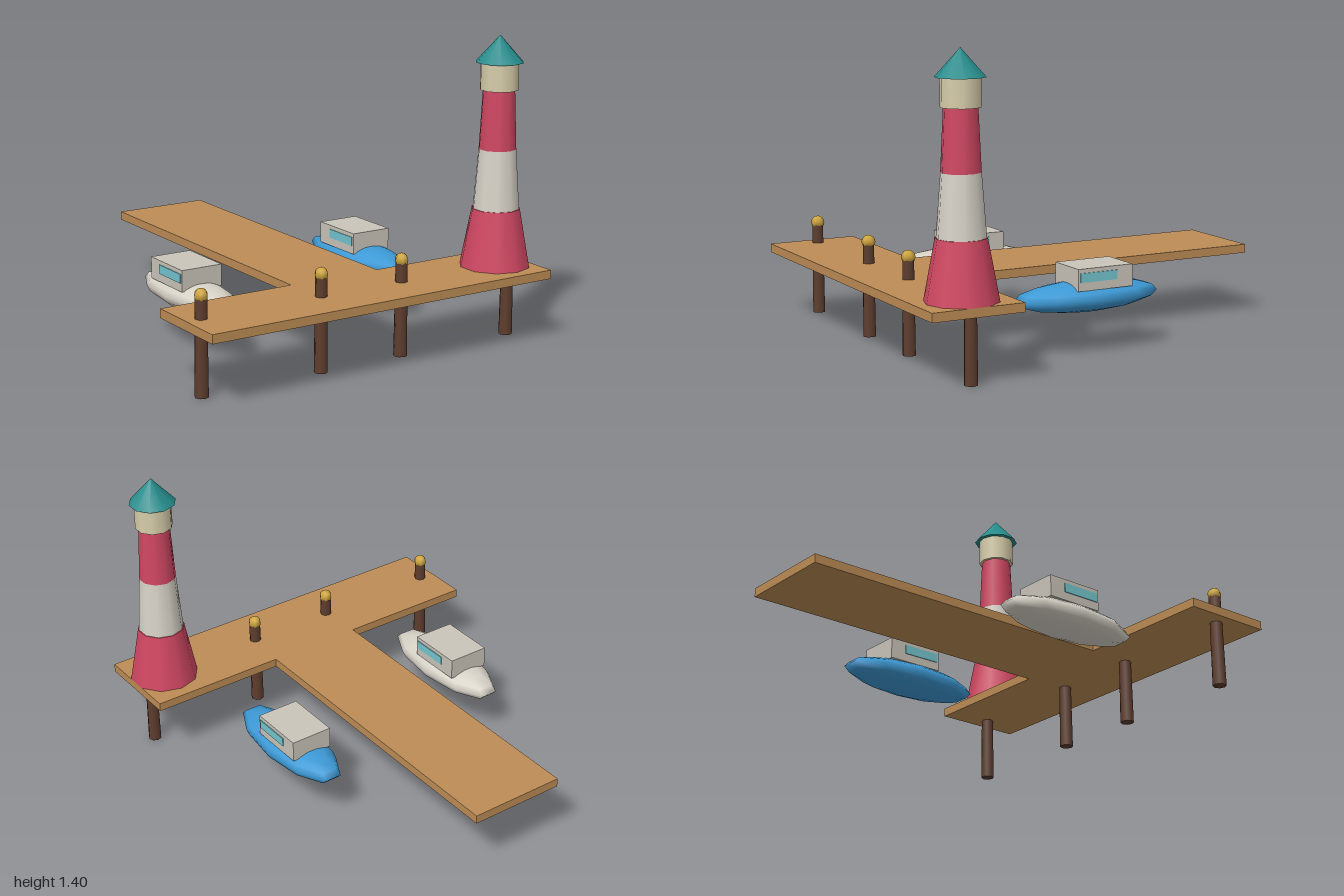
import * as THREE from 'three';

const mat = (name, color) => {
  const m = new THREE.MeshStandardMaterial({ color });
  m.name = name;
  return m;
};

export function createModel() {
  const wood = mat('deck wood', 0xbd8c55);
  const darkWood = mat('post wood', 0x5e3d2e);
  const brass = mat('brass', 0xcfa53f);
  const red = mat('tower red', 0xd04762);
  const white = mat('tower white', 0xd8d3c8);
  const cream = mat('lantern cream', 0xd8ceab);
  const teal = mat('roof teal', 0x268c8c);
  const blue = mat('hull blue', 0x3d9ad6);
  const cabinGrey = mat('cabin grey', 0xcac5ba);
  const glass = mat('window glass', 0x74c6d0);

  const model = new THREE.Group();
  model.name = 'harbourPier';

  const add = (parent, name, geometry, material, x = 0, y = 0, z = 0) => {
    const mesh = new THREE.Mesh(geometry, material);
    mesh.name = name;
    mesh.position.set(x, y, z);
    parent.add(mesh);
    return mesh;
  };

  // T-shaped deck, drawn in x/z and extruded downwards
  const outline = [
    [-0.895, 1], [-0.895, 0.57], [-0.233, 0.57], [-0.233, -1],
    [0.23, -1], [0.23, 0.57], [0.89, 0.57], [0.89, 1],
  ].map(([x, z]) => new THREE.Vector2(x, z));
  const deck = new THREE.ExtrudeGeometry(new THREE.Shape(outline), { depth: 0.041, bevelEnabled: false });
  deck.rotateX(Math.PI / 2);
  add(model, 'deck', deck, wood, 0, 0.343, 0);

  // Mooring posts with brass caps
  const postGeo = new THREE.CylinderGeometry(0.027, 0.031, 0.43, 8);
  const capGeo = new THREE.SphereGeometry(0.032, 6, 8);
  for (const x of [-0.82, -0.218, 0.21, 0.812]) {
    const post = new THREE.Group();
    post.name = 'mooringPost';
    post.position.set(x, 0, 0.785);
    add(post, 'post', postGeo, darkWood, 0, 0.215, 0);
    add(post, 'postCap', capGeo, brass, 0, 0.442, 0);
    model.add(post);
  }

  // Lighthouse: stacked ten-sided sections [name, bottom y, top y, bottom radius, top radius]
  const lighthouse = new THREE.Group();
  lighthouse.name = 'lighthouse';
  lighthouse.position.set(0.735, 0, 0.787);
  model.add(lighthouse);
  const sections = [
    ['lowerTower', 0.343, 0.612, 0.163, 0.112, red],
    ['middleTower', 0.612, 0.886, 0.108, 0.087, white],
    ['upperTower', 0.886, 1.156, 0.087, 0.074, red],
    ['lantern', 1.156, 1.28, 0.088, 0.088, cream],
    ['roof', 1.28, 1.402, 0.11, 0, teal],
  ];
  for (const [name, y0, y1, r0, r1, material] of sections) {
    add(lighthouse, name, new THREE.CylinderGeometry(r1, r0, y1 - y0, 10), material, 0, (y0 + y1) / 2, 0);
  }

  // Boats: squashed sphere hull, box cabin, a window on each side
  const hullGeo = new THREE.SphereGeometry(1, 10, 8).scale(0.132, 0.07, 0.363);
  const cabinGeo = new THREE.BoxGeometry(0.204, 0.1, 0.278);
  const windowGeo = new THREE.BoxGeometry(0.006, 0.042, 0.187);
  const addBoat = (name, x, z, hullMaterial) => {
    const boat = new THREE.Group();
    boat.name = name;
    boat.position.set(x, 0.25, z);
    add(boat, 'hull', hullGeo, hullMaterial);
    add(boat, 'cabin', cabinGeo, cabinGrey, 0, 0.092, -0.038);
    for (const side of [-1, 1]) {
      add(boat, 'cabinWindow', windowGeo, glass, side * 0.103, 0.102, -0.003);
    }
    model.add(boat);
  };
  addBoat('whiteBoat', -0.507, 0.162, white);
  addBoat('blueBoat', 0.5, 0.047, blue);

  return model;
}
